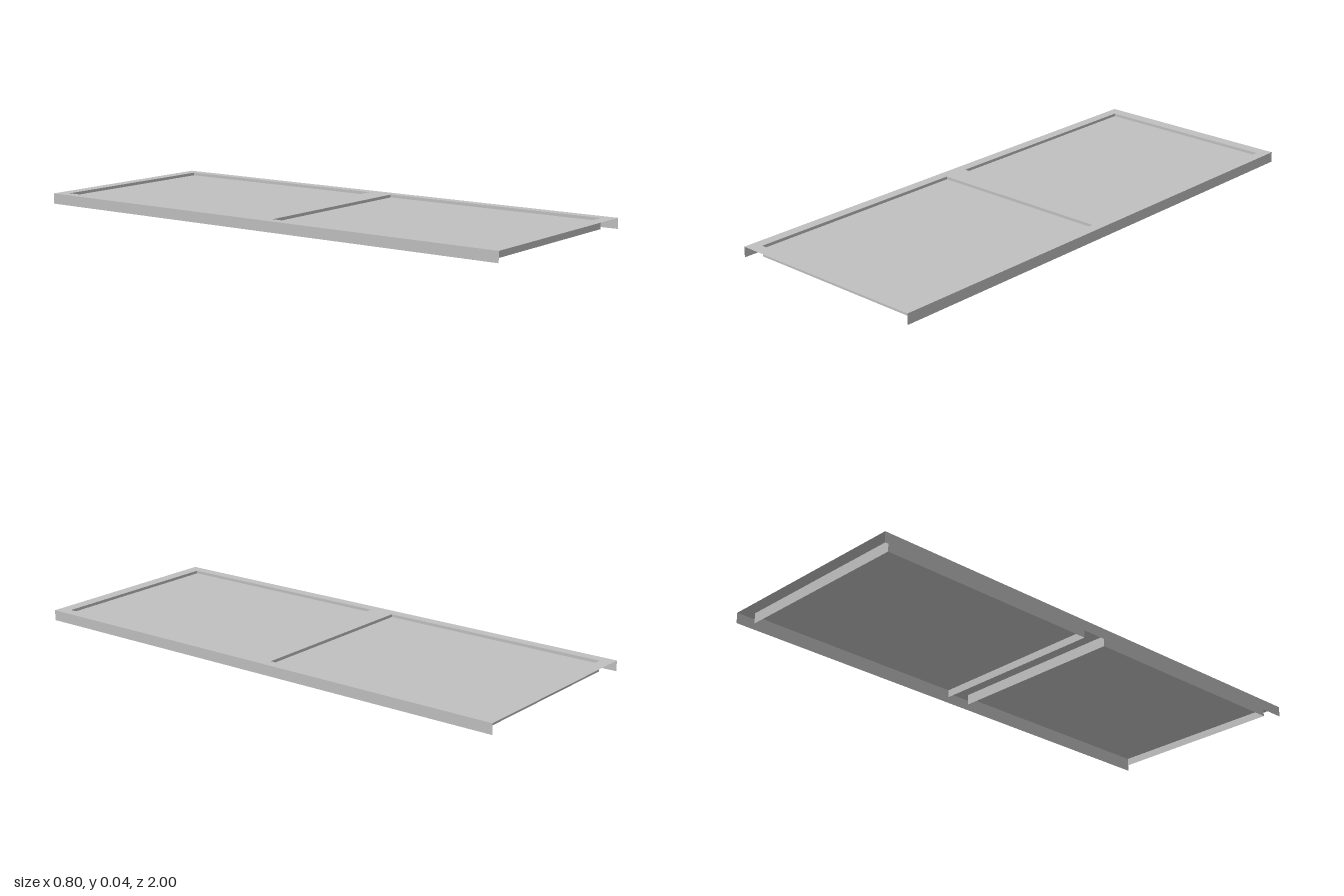
import * as THREE from 'three';

const TOP = 0.04, PANEL_Y = 0.029, HALF_W = 0.4, HALF_L = 1;
const TRAY_X = 0.36, TRAY_Z0 = 0.05, TRAY_Z1 = 0.953;

export function createModel() {
  const group = new THREE.Group();
  const metal = new THREE.MeshStandardMaterial({ color: 0xc0c0c0, side: THREE.DoubleSide });
  metal.name = 'light grey metal';

  const add = (name, geometry, parent = group) => {
    const mesh = new THREE.Mesh(geometry, metal);
    mesh.name = name;
    parent.add(mesh);
    return mesh;
  };
  const rectangle = (path, x0, y0, x1, y1) =>
    path.moveTo(x0, y0).lineTo(x1, y0).lineTo(x1, y1).lineTo(x0, y1).closePath();

  // Thin top sheet with two rectangular openings
  const sheet = rectangle(new THREE.Shape(), -HALF_W, -HALF_L, HALF_W, HALF_L);
  for (const s of [-1, 1]) {
    sheet.holes.push(rectangle(new THREE.Path(), -TRAY_X, s * TRAY_Z0, TRAY_X, s * TRAY_Z1));
  }
  add('topSheet', new THREE.ShapeGeometry(sheet).rotateX(-Math.PI / 2).translate(0, TOP, 0));

  // Upright strips facing outward along x or z
  const sideStrip = (length, sign) =>
    new THREE.PlaneGeometry(length, TOP).rotateY(sign * Math.PI / 2);
  const endStrip = (length, sign) =>
    new THREE.PlaneGeometry(length, TOP).rotateY(sign > 0 ? 0 : Math.PI);

  // Folded side skirts
  for (const s of [-1, 1]) {
    add(s > 0 ? 'leftSkirt' : 'rightSkirt', sideStrip(2 * HALF_L, s).translate(s * HALF_W, TOP / 2, 0));
  }

  // Two trays: walls below each opening and a slightly sunken panel
  const length = TRAY_Z1 - TRAY_Z0;
  for (const end of [-1, 1]) {
    const tray = new THREE.Group();
    tray.name = end > 0 ? 'frontTray' : 'rearTray';
    tray.position.z = end * (TRAY_Z0 + TRAY_Z1) / 2;
    group.add(tray);
    add('panel', new THREE.PlaneGeometry(2 * TRAY_X, length).rotateX(-Math.PI / 2).translate(0, PANEL_Y, 0), tray);
    for (const s of [-1, 1]) {
      add('sideWall', sideStrip(length, s).translate(s * TRAY_X, TOP / 2, 0), tray);
      add('endWall', endStrip(2 * TRAY_X, s).translate(0, TOP / 2, s * length / 2), tray);
    }
  }
  return group;
}
